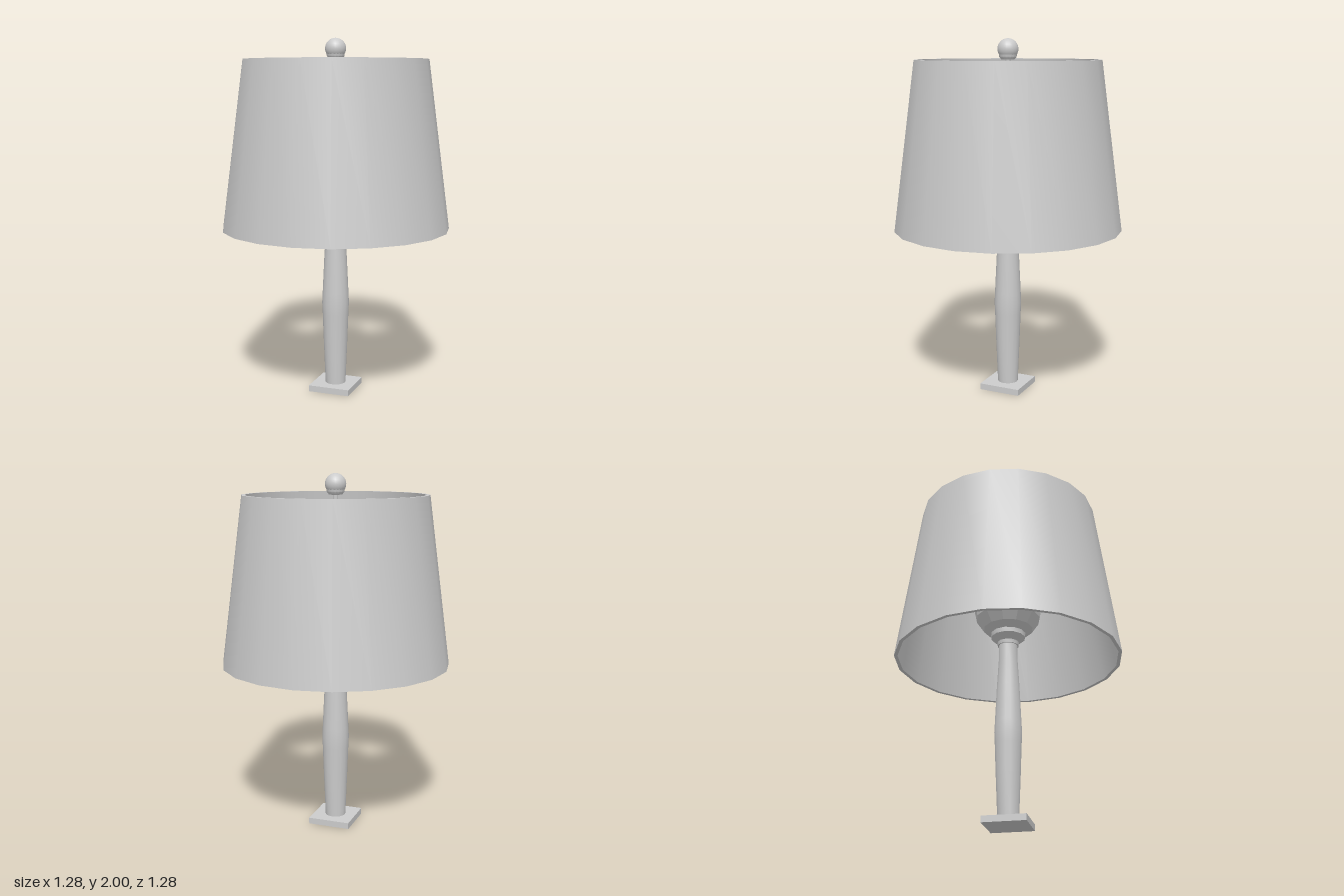
import * as THREE from 'three';
import { toCreasedNormals } from 'three/addons/utils/BufferGeometryUtils.js';

const smooth = new THREE.MeshStandardMaterial({ color: 0xcccccc });
const faceted = new THREE.MeshStandardMaterial({ color: 0xcccccc, flatShading: true });

export function createModel() {
  const lamp = new THREE.Group();
  lamp.name = 'tableLamp';

  const add = (name, geometry, y = 0, material = smooth) => {
    const mesh = new THREE.Mesh(geometry, material);
    mesh.name = name;
    mesh.position.y = y;
    lamp.add(mesh);
  };

  // Turned part from [radius, height] pairs, listed bottom to top
  const turn = (profile, sides, crease = 0.6) => toCreasedNormals(
    new THREE.LatheGeometry(profile.map(([r, y]) => new THREE.Vector2(r, y)), sides), crease);

  // Square foot
  add('base', new THREE.BoxGeometry(0.24, 0.035, 0.24), 0.0175);

  // Stem, swelling gently at mid height
  add('stem', turn([
    [0.058, 0.035], [0.068, 0.28], [0.074, 0.45], [0.077, 0.51],
    [0.074, 0.57], [0.064, 0.78], [0.054, 0.94], [0.053, 1.05],
  ], 16));

  // Socket collar between stem and bulb
  add('socket', turn([
    [0, 1.035], [0.06, 1.035], [0.062, 1.055], [0.098, 1.085],
    [0.1, 1.115], [0.08, 1.13], [0, 1.13],
  ], 12));

  // Faceted bulb
  add('bulb', new THREE.SphereGeometry(0.2, 12, 8), 1.28, faceted);

  // Rod carrying the finial
  add('rod', new THREE.CylinderGeometry(0.014, 0.014, 0.46, 8), 1.67);

  // Finial: small cup with a ball on it
  add('finialCup', turn([
    [0, 1.885], [0.036, 1.885], [0.048, 1.9], [0.05, 1.915], [0, 1.925],
  ], 16));
  add('finialBall', new THREE.SphereGeometry(0.058, 20, 14), 1.942);

  // Open tapered shade with wall thickness
  add('shade', turn([
    [0.64, 0.945], [0.515, 1.885], [0.495, 1.885], [0.62, 0.945], [0.64, 0.945],
  ], 20));

  return lamp;
}
